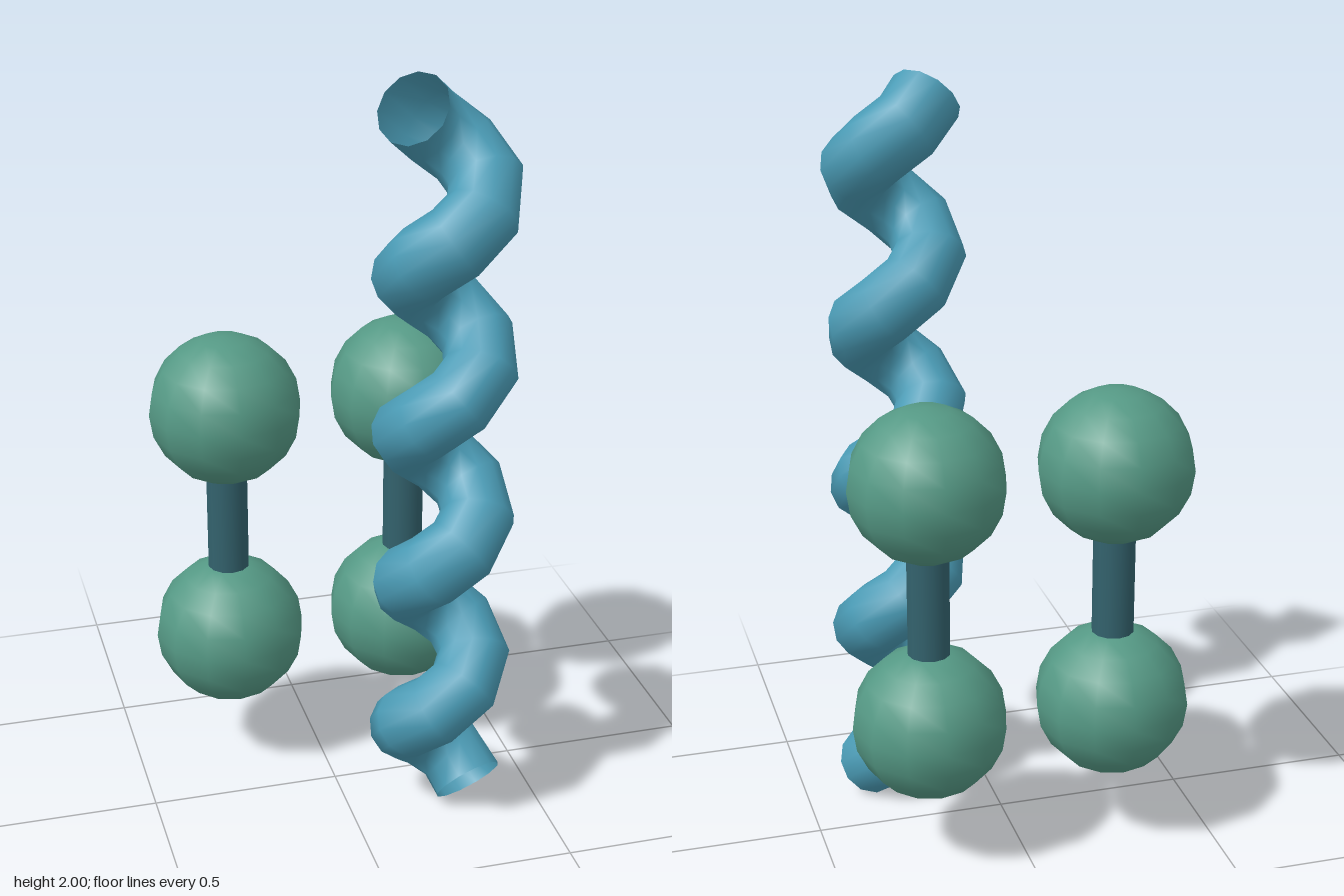
import * as THREE from 'three';

const mat = (name, color, side = THREE.FrontSide) => {
  const m = new THREE.MeshStandardMaterial({ color, side });
  m.name = name;
  return m;
};

export function createModel() {
  const group = new THREE.Group();
  group.name = 'coilAndDumbbells';

  const green = mat('seaGreen', 0x559985);
  const slate = mat('darkTeal', 0x33626d);
  const blue = mat('coilBlue', 0x4a9bb5, THREE.DoubleSide);

  const add = (parent, name, geometry, material, x, y, z) => {
    const mesh = new THREE.Mesh(geometry, material);
    mesh.name = name;
    mesh.position.set(x, y, z);
    parent.add(mesh);
  };

  // Two upright dumbbells: a ball at each end of a thin rod
  const ball = new THREE.SphereGeometry(0.201, 12, 10);
  const rod = new THREE.CylinderGeometry(0.055, 0.055, 0.65, 12);
  for (const [side, x] of [['left', 0.243], ['right', -0.243]]) {
    const dumbbell = new THREE.Group();
    dumbbell.name = side + 'Dumbbell';
    dumbbell.position.set(x, 0, -0.199);
    add(dumbbell, 'lowerBall', ball, green, 0, 0.403, 0);
    add(dumbbell, 'upperBall', ball, green, 0, 1.053, 0);
    add(dumbbell, 'rod', rod, slate, 0, 0.728, 0);
    group.add(dumbbell);
  }

  // Open-ended coiled tube
  const turns = 4.42, steps = 40, coilRadius = 0.09, tubeRadius = 0.094;
  const points = [];
  for (let i = 0; i <= steps; i++) {
    const t = i / steps, a = t * turns * Math.PI * 2;
    points.push(new THREE.Vector3(
      coilRadius * Math.cos(a), 0.075 + 1.85 * t, -coilRadius * Math.sin(a)));
  }
  const path = new THREE.CatmullRomCurve3(points);
  add(group, 'coil', new THREE.TubeGeometry(path, 32, tubeRadius, 12), blue, 0.222, 0, 0.211);

  return group;
}
